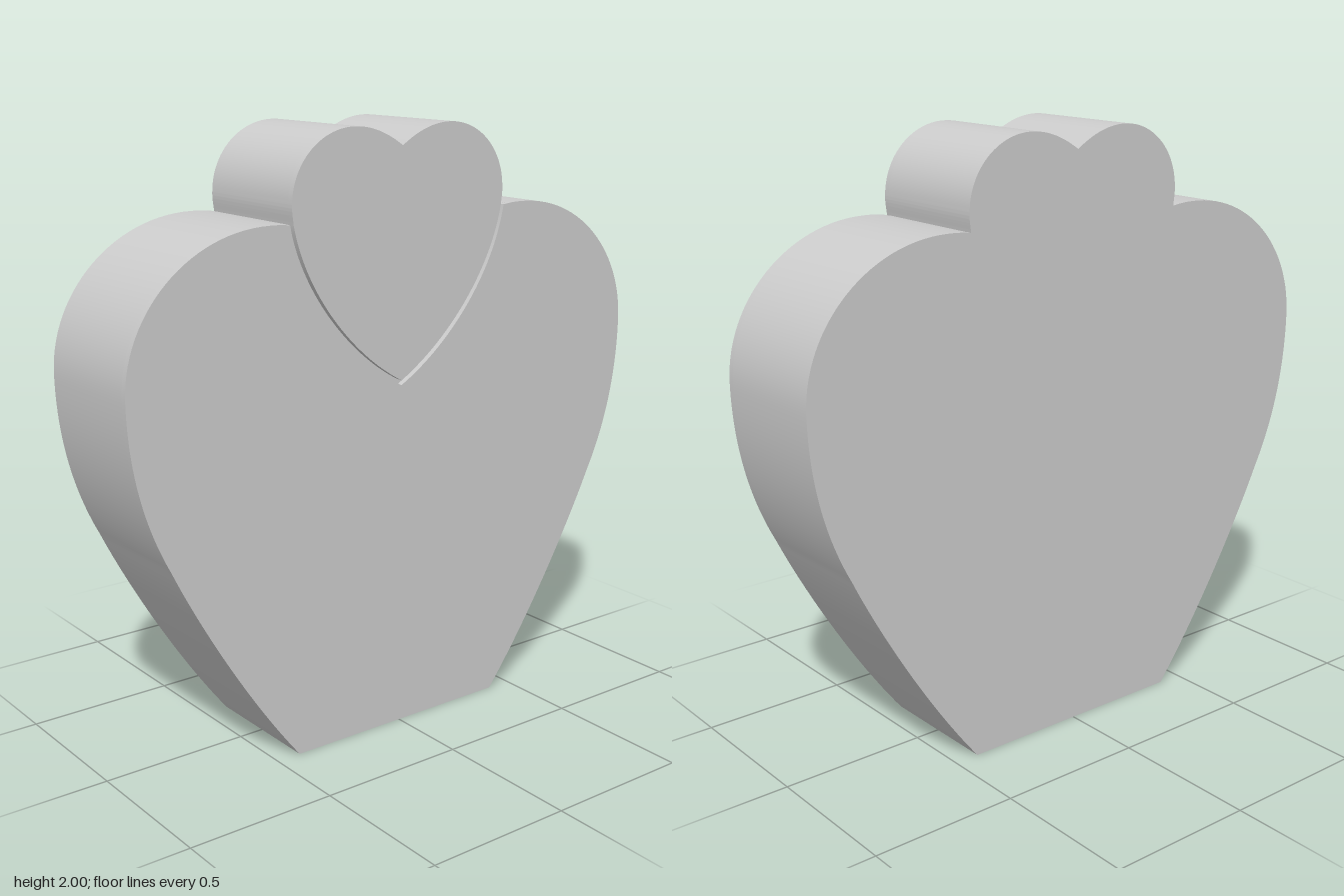
import * as THREE from 'three';
import { toCreasedNormals } from 'three/addons/utils/BufferGeometryUtils.js';

const HALF = 0.22;    // half of the thickness
const FLOOR = 0.2;    // z of the groove floor
const GAP = 0.013;    // groove width
const SEGMENTS = 28;

// Right half curves as cubic Beziers: [control 1, control 2, end]
const bodySide = [
  [[0.6, 0.23], [0.78, 0.54], [0.87, 0.73]],
  [[0.96, 0.9], [1, 1.08], [1, 1.27]],
  [[1, 1.52], [0.78, 1.73], [0.5, 1.727]],
  [[0.47, 1.727], [0.44, 1.725], [0.415, 1.72]],
];
const lobe = [
  [[0.417, 1.74], [0.422, 1.76], [0.42, 1.785]],
  [[0.415, 1.91], [0.31, 2], [0.19, 2]],
  [[0.12, 2], [0.06, 1.975], [0, 1.935]],
];
const heartTip = [0, 1.19];
const heartSide = [[[0.17, 1.28], [0.37, 1.49], [0.415, 1.72]]];
// Body edge of the groove, running down from the shoulder to the tip
const grooveSide = [[[0.37 + GAP, 1.48], [0.17 + GAP, 1.27], [0, 1.19 - GAP * 1.3]]];

// Closed outline from a right half (bottom to top), mirrored to the left
function mirroredShape(start, curves) {
  const path = new THREE.Path().moveTo(...start);
  for (const [a, b, end] of curves) path.bezierCurveTo(...a, ...b, ...end);
  const right = path.getPoints(SEGMENTS);
  const left = right.slice().reverse()
    .filter((p) => p.x > 1e-5)
    .map((p) => new THREE.Vector2(-p.x, p.y));
  return new THREE.Shape([...right, ...left]);
}

function slab(name, shape, z0, z1) {
  const geometry = new THREE.ExtrudeGeometry(shape, { depth: z1 - z0, bevelEnabled: false });
  geometry.translate(0, 0, z0);
  const material = new THREE.MeshStandardMaterial({ color: 0xcccccc });
  const mesh = new THREE.Mesh(toCreasedNormals(geometry, 0.5), material);
  mesh.name = name;
  return mesh;
}

export function createModel() {
  const group = new THREE.Group();
  group.name = 'heartToppedBlock';
  const base = [0.415, 0];

  // Full silhouette up to the groove floor
  group.add(slab('body', mirroredShape(base, [...bodySide, ...lobe]), -HALF, FLOOR));

  // Front layer, cut out around the heart
  const shoulder = bodySide.slice(0, 3);
  shoulder.push([[0.47, 1.727], [0.45, 1.725], [0.415 + GAP, 1.722]]);
  group.add(slab('frontFace', mirroredShape(base, [...shoulder, ...grooveSide]), FLOOR, HALF));

  // Heart set into the cut-out, leaving a thin groove below it
  group.add(slab('heart', mirroredShape(heartTip, [...heartSide, ...lobe]), FLOOR, HALF));
  return group;
}
